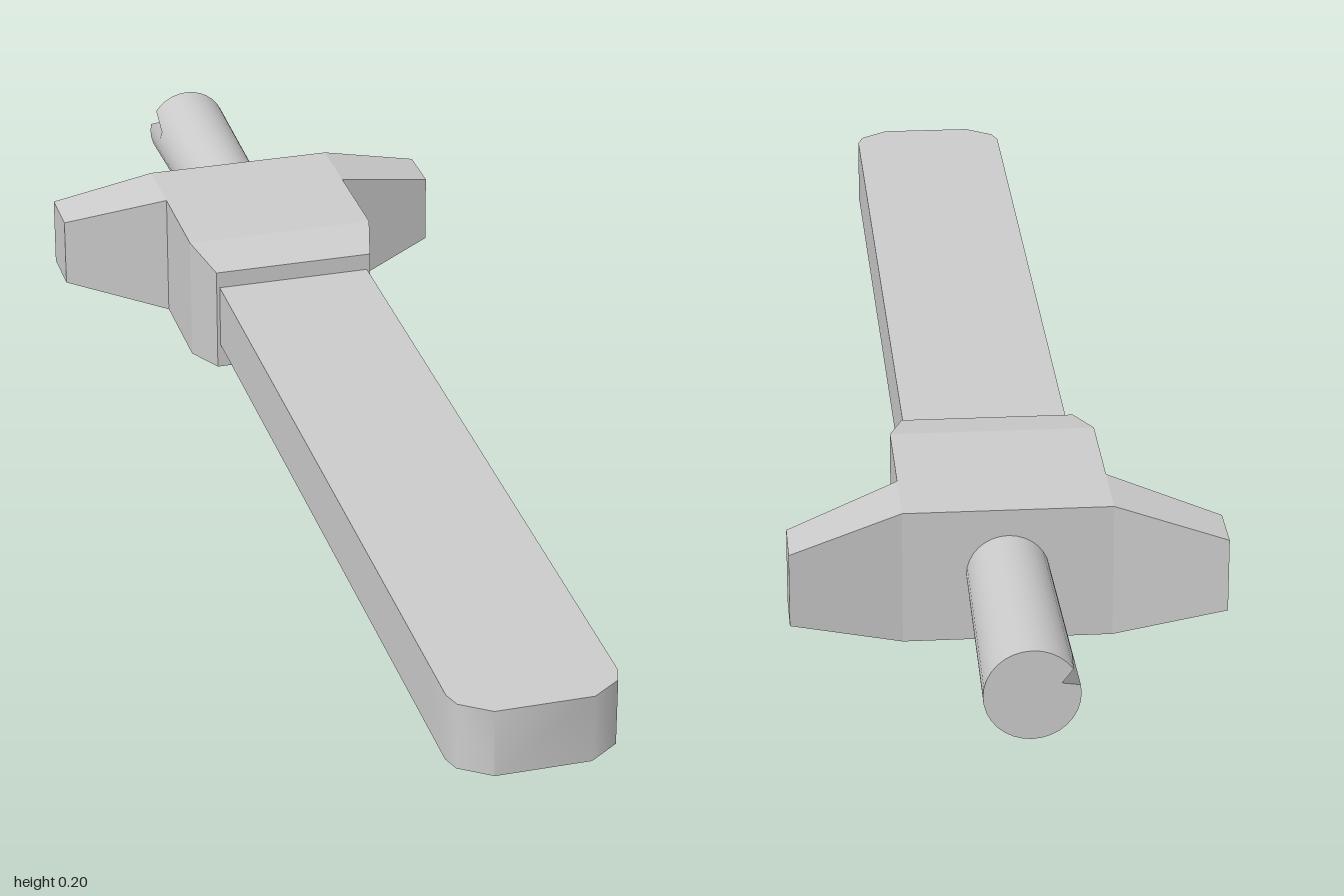
import * as THREE from 'three';
import { toCreasedNormals } from 'three/addons/utils/BufferGeometryUtils.js';

const grey = new THREE.MeshStandardMaterial({ color: 0xcccccc });

// Skin over matching loops, each counter-clockwise when seen from the last one's end.
function loft(sections, capStart, capEnd, crease) {
  const n = sections[0].length, index = [];
  for (let s = 0; s < sections.length - 1; s++) {
    for (let i = 0; i < n; i++) {
      const j = (i + 1) % n, a = s * n, b = a + n;
      index.push(a + i, a + j, b + j, a + i, b + j, b + i);
    }
  }
  const last = (sections.length - 1) * n;
  for (let i = 1; i < n - 1; i++) {
    if (capStart) index.push(0, i + 1, i);
    if (capEnd) index.push(last, last + i, last + i + 1);
  }
  const geo = new THREE.BufferGeometry();
  geo.setAttribute('position', new THREE.Float32BufferAttribute(sections.flat(2), 3));
  geo.setIndex(index);
  return toCreasedNormals(geo, crease);
}

function part(group, name, geometry) {
  const mesh = new THREE.Mesh(geometry, grey);
  mesh.name = name;
  group.add(mesh);
  return mesh;
}

export function createModel() {
  const group = new THREE.Group();
  group.name = 'dagger';

  // Blade: flat top, chamfered underside, rounded tip. [z, half width, lower half width, bottom y]
  const bladeRows = [
    [-0.3, 0.12, 0.095, 0.033], [0.85, 0.12, 0.095, 0.033], [0.945, 0.12, 0.095, 0.046],
    [0.97, 0.112, 0.092, 0.049], [1, 0.07, 0.066, 0.053],
  ];
  part(group, 'blade', loft(bladeRows.map(([z, w, lw, b]) => [
    [-lw, b, z], [lw, b, z], [w, 0.054, z], [w, 0.155, z], [-w, 0.155, z], [-w, 0.054, z],
  ]), false, true, 0.8));

  // Guard centre, narrowing into a collar at the blade. [z, half width, half height]
  const mid = 0.0985;
  const coreRows = [[-0.637, 0.147, 0.0985], [-0.53, 0.147, 0.0985], [-0.37, 0.147, 0.0985], [-0.287, 0.125, 0.083]];
  part(group, 'guardCentre', loft(coreRows.map(([z, w, h]) => [
    [-w, mid - h, z], [w, mid - h, z], [w, mid + h, z], [-w, mid + h, z],
  ]), true, true, 0.15));

  // Guard wings, swept back and tapering outwards. [x, half height, front z, back z]
  const wingRows = [[0.147, 0.0985, -0.53, -0.637], [0.305, 0.054, -0.583, -0.665]];
  for (const side of [1, -1]) {
    const sections = wingRows.map(([x, h, f, b]) => {
      const loop = [[f, -h], [b, -h], [b, h], [f, h]].map(([z, y]) => [side * x, mid + y, z]);
      return side > 0 ? loop : loop.reverse();
    });
    part(group, side > 0 ? 'guardWingLeft' : 'guardWingRight', loft(sections, false, true, 0.15));
  }

  // Handle: slightly flared rod with a small notch in the rim of its end.
  const length = 0.37;
  const handleGeo = new THREE.CylinderGeometry(0.058, 0.065, length, 32, 6);
  handleGeo.rotateX(Math.PI / 2);
  const pos = handleGeo.attributes.position;
  for (let i = 0; i < pos.count; i++) {
    const x = pos.getX(i), y = pos.getY(i);
    const angle = Math.atan2(y, x);
    if (pos.getZ(i) < -length / 2 + 0.001 && Math.abs(angle - 2.75) < 0.15) {
      pos.setXY(i, x * 0.65, y * 0.65);
    }
  }
  part(group, 'handle', handleGeo).position.set(0, 0.1, -1 + length / 2);

  return group;
}
